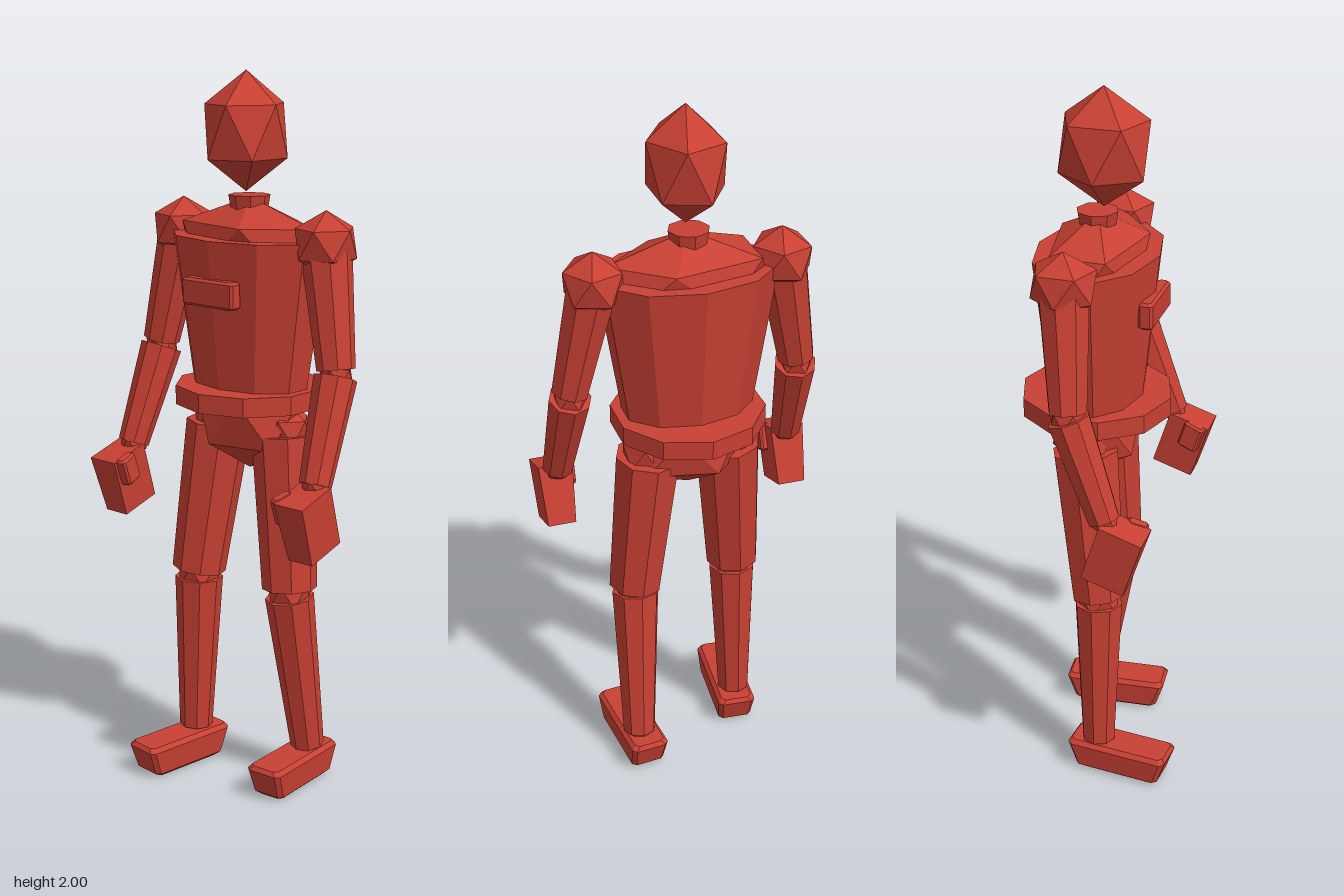
import * as THREE from 'three';
import { ConvexGeometry } from 'three/addons/geometries/ConvexGeometry.js';

const V = (x, y, z) => new THREE.Vector3(x, y, z);

export function createModel() {
  const model = new THREE.Group();
  model.name = 'figure';
  const red = new THREE.MeshStandardMaterial({ color: 0xc84033 });
  red.name = 'brickRed';

  // Faceted mesh with hard edges
  function add(name, geometry, position = V(0, 0, 0), parent = model) {
    const flat = geometry.index ? geometry.toNonIndexed() : geometry;
    flat.computeVertexNormals();
    const mesh = new THREE.Mesh(flat, red);
    mesh.name = name;
    mesh.position.copy(position);
    parent.add(mesh);
    return mesh;
  }

  // Twenty-sided ball standing on a point
  function ball(rx, ry = rx, rz = rx) {
    const points = [V(0, ry, 0), V(0, -ry, 0)];
    for (let i = 0; i < 5; i++) {
      const a = (i * Math.PI * 2) / 5;
      const p = V(0.894 * rx * Math.cos(a), 0.447 * ry, 0.894 * rz * Math.sin(a));
      points.push(p, p.clone().negate());
    }
    return new ConvexGeometry(points);
  }

  // Tapered eight-sided limb from a to b
  function limb(name, a, b, ra, rb, parent) {
    const mesh = add(name, new THREE.CylinderGeometry(ra, rb, a.distanceTo(b), 8),
      a.clone().add(b).multiplyScalar(0.5), parent);
    mesh.quaternion.setFromUnitVectors(V(0, 1, 0), a.clone().sub(b).normalize());
    return mesh;
  }

  // Chamfered block whose base is scaled by bx, bz
  function block(w, h, d, c, bx = 1, bz = 1) {
    const points = [];
    for (const [y, inset] of [[-h / 2, c], [c - h / 2, 0], [h / 2 - c, 0], [h / 2, c]]) {
      const t = y / h + 0.5;
      const x = (w / 2) * (bx + (1 - bx) * t) - inset;
      const z = (d / 2) * (bz + (1 - bz) * t) - inset;
      for (const sx of [-1, 1]) for (const sz of [-1, 1]) {
        points.push(V(sx * x, y, sz * (z - c)), V(sx * (x - c), y, sz * z));
      }
    }
    return new ConvexGeometry(points);
  }

  // Head and neck
  add('head', ball(0.118, 0.16, 0.136), V(0, 1.84, -0.016));
  add('neck', new THREE.CylinderGeometry(0.057, 0.042, 0.09, 8), V(-0.003, 1.625, -0.033));

  // Torso
  add('upperChest', ball(0.25, 0.13, 0.145), V(0, 1.535, -0.032));
  add('torso', new THREE.CylinderGeometry(0.25, 0.177, 0.46, 10).scale(1, 1, 0.67), V(0, 1.33, -0.03));
  add('belt', new THREE.CylinderGeometry(0.2126, 0.2126, 0.053, 10).scale(1, 1, 0.99), V(0, 1.125, -0.036));
  add('chestPlate', block(0.184, 0.075, 0.04, 0.007), V(0, 1.42, 0.124));
  add('pelvis', ball(0.19, 0.145, 0.135), V(0, 1.052, -0.035));

  // Arms, mirrored
  for (const s of [1, -1]) {
    const arm = new THREE.Group();
    arm.name = s > 0 ? 'leftArm' : 'rightArm';
    model.add(arm);
    const shoulder = V(s * 0.258, 1.56, -0.042);
    const elbow = V(s * 0.322, 1.22, -0.012);
    const wrist = V(s * 0.34, 0.945, 0.09);
    add('shoulder', ball(0.09, 0.087, 0.096), shoulder, arm);
    limb('upperArm', shoulder, elbow.clone().add(V(0, 0.015, 0)), 0.07, 0.052, arm);
    add('elbow', ball(0.05), elbow, arm);
    limb('forearm', elbow.clone().add(V(0, -0.005, 0.002)), wrist, 0.059, 0.044, arm);
    add('wrist', ball(0.042), wrist, arm);

    const hand = new THREE.Group();
    hand.name = 'hand';
    hand.position.set(s * 0.346, 0.848, 0.124);
    hand.rotation.x = 0.31;
    arm.add(hand);
    const palm = new THREE.BoxGeometry(0.098, 0.172, 0.122);
    const p = palm.attributes.position;
    for (let i = 0; i < p.count; i++) if (p.getY(i) < 0) p.setX(i, p.getX(i) * 0.82);
    add('palm', palm, V(0, 0, 0), hand);
    const thumb = add('thumb', block(0.035, 0.08, 0.06, 0.006), V(-s * 0.053, 0.048, 0.022), hand);
    thumb.rotation.y = -s * 0.2;
  }

  // Legs in mid stride: joints as x, y, z, and foot centre
  const legs = [
    { name: 'leftLeg', s: 1, hip: V(0.117, 1.02, -0.047), knee: V(0.155, 0.575, -0.026),
      ankle: V(0.17, 0.1, -0.092), foot: V(0.171, 0.048, -0.026) },
    { name: 'rightLeg', s: -1, hip: V(-0.117, 1.02, -0.033), knee: V(-0.154, 0.575, 0.015),
      ankle: V(-0.167, 0.1, 0.018), foot: V(-0.167, 0.048, 0.088) },
  ];
  for (const { name, s, hip, knee, ankle, foot } of legs) {
    const leg = new THREE.Group();
    leg.name = name;
    model.add(leg);
    add('hip', ball(0.072), V(s * 0.125, 1.035, hip.z), leg);
    limb('thigh', hip, knee.clone().add(V(0, 0.012, 0)), 0.093, 0.077, leg);
    add('knee', ball(0.068), knee, leg);
    limb('shin', knee.clone().add(V(0, -0.012, 0)), ankle, 0.069, 0.048, leg);
    add('ankle', ball(0.045), ankle, leg);
    add('foot', block(0.115, 0.095, 0.308, 0.012, 0.86, 0.8), foot, leg).rotation.y = s * 0.09;
  }
  return model;
}
